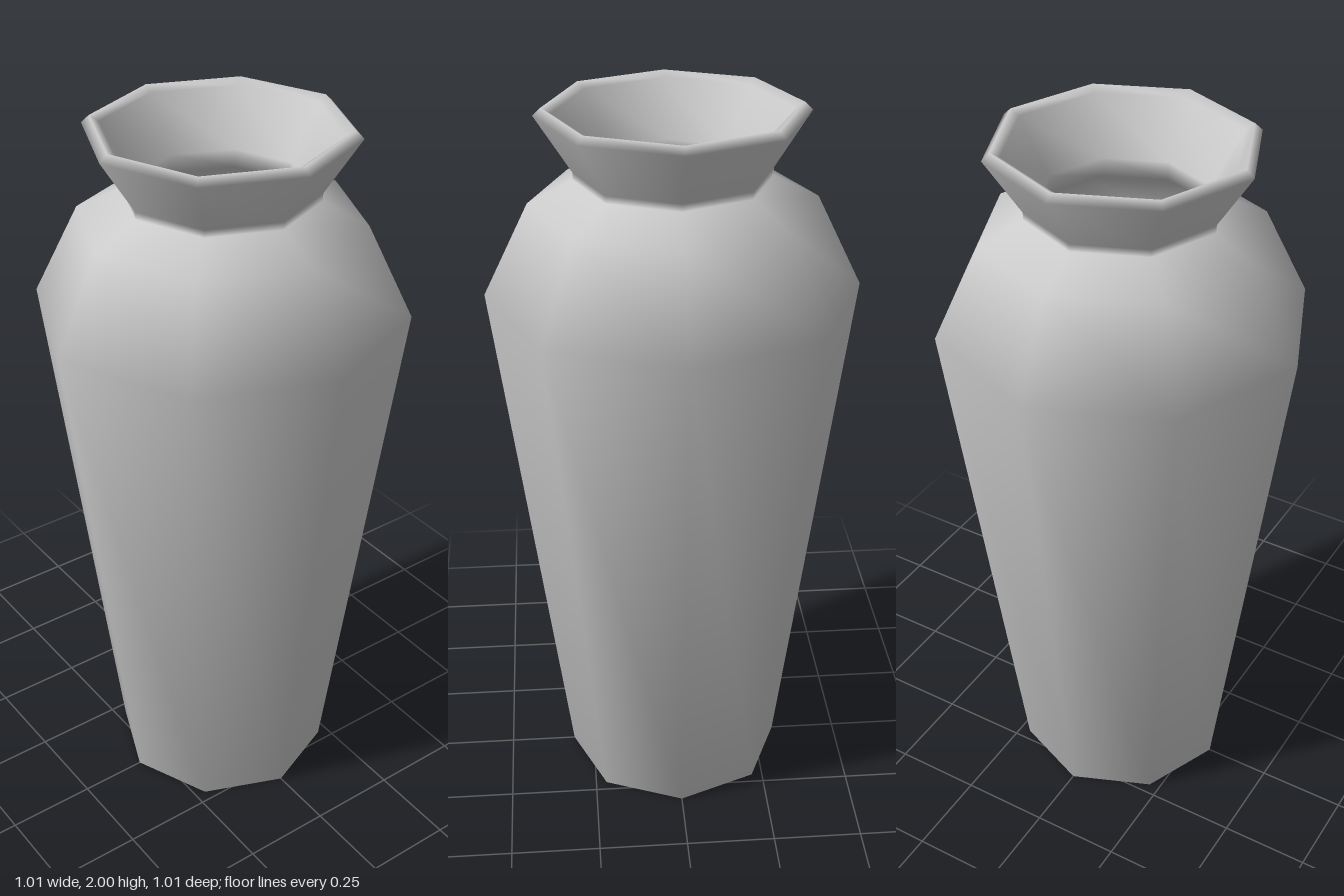
import * as THREE from 'three';

// Radius and height pairs, revolved into an eight-sided smooth form
function lathe(name, profile, material) {
  const points = profile.map(([r, y]) => new THREE.Vector2(r, y));
  const mesh = new THREE.Mesh(new THREE.LatheGeometry(points, 8), material);
  mesh.name = name;
  return mesh;
}

export function createModel() {
  const group = new THREE.Group();
  group.name = 'vase';
  const clay = new THREE.MeshStandardMaterial({ color: 0xcccccc });

  // One continuous wall: underside, body, neck, lip, then the hollow inside
  group.add(lathe('vaseWall', [
    [0, 0], [0.31, 0],             // foot
    [0.503, 1.5], [0.38, 1.75],    // body and shoulder
    [0.26, 1.81], [0.26, 1.83],    // neck
    [0.356, 1.98], [0.335, 2],     // flared lip
    [0.31, 1.985],
    [0.225, 1.84], [0.225, 1.79],  // inside of the neck
    [0.35, 1.72], [0.465, 1.5],    // inside of the shoulder
    [0.28, 0.04], [0, 0.04],       // inner floor
  ], clay));

  return group;
}
